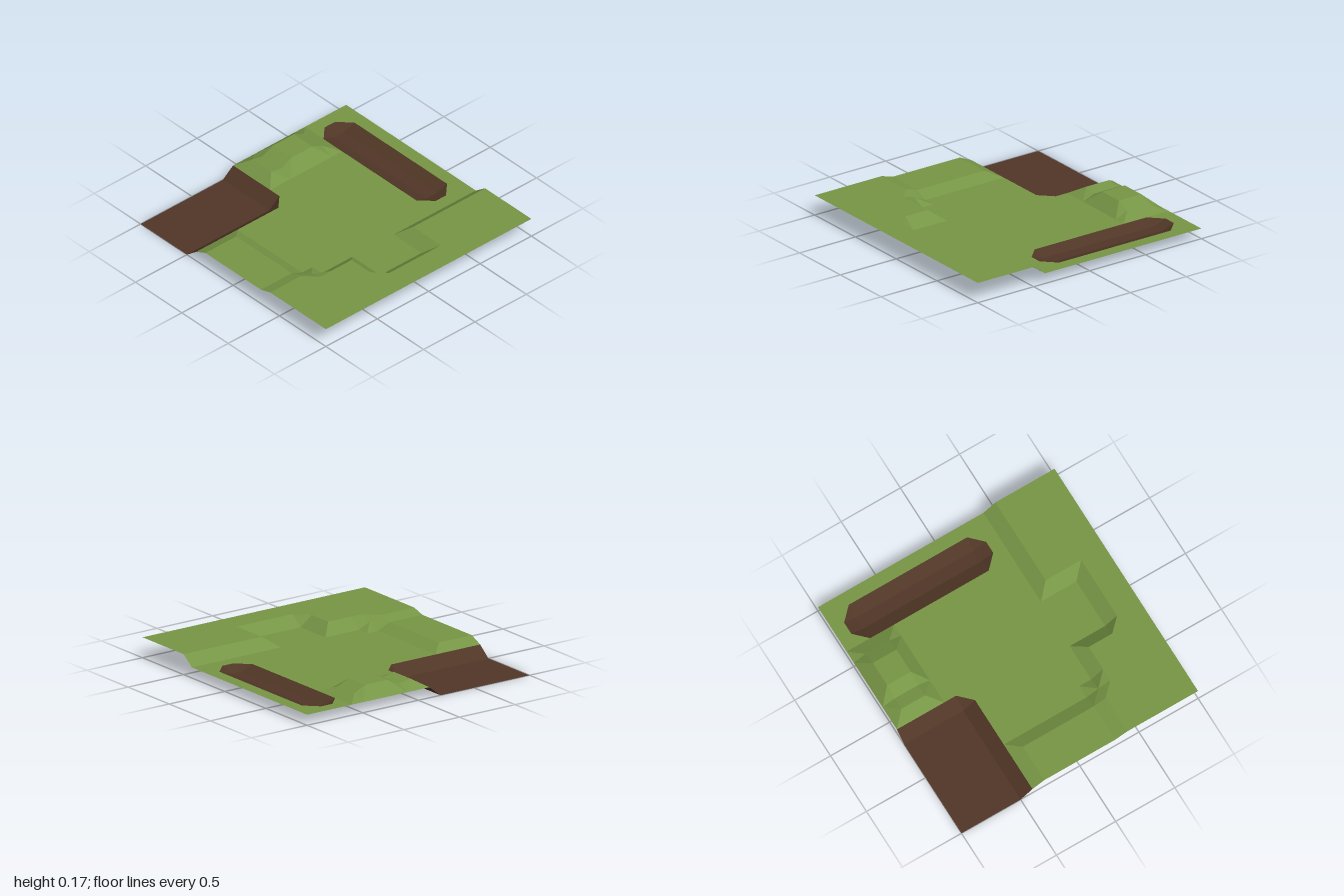
import * as THREE from 'three';

const CELLS = 20, LOW = 0.08, HIGH = 0.155, LEDGE = 0.125;

// Ground height on the 0.1 grid; i and j count tenths of a unit along x and z
function height(i, j) {
  // sunken dirt pit in the front corner
  if (i <= -5 && j >= 2) return 0;
  // shallow dirt trench along the back
  if (i >= -8 && i <= 2 && (j === -8 || j === -7)) return 0.045;
  // raised bank with a square bay cut into it
  const bay = j >= -2 && j <= 2;
  if (i >= (bay ? 8 : 5)) return HIGH;
  // low ledge along the front edge
  if (j >= 7 && i >= -3) return i >= 4 ? HIGH : LEDGE;
  if (j === 6 && i === 4) return LEDGE;
  // two small mounds on the side
  if (i >= -9 && i <= -7) {
    const mound = { '-5': 0.125, '-4': 0.168, '-3': 0.168, '-2': 0.168, '-1': 0.12, '0': 0.14 };
    return mound[j] ?? LOW;
  }
  return LOW;
}

// Collect the triangles of the height grid by terrain part
function buildTerrain() {
  const parts = { grassGround: [], dirtPit: [], dirtTrench: [] };
  const addTriangle = (...corners) => {
    const points = corners.map(([i, j]) => [i / 10, height(i, j), j / 10]);
    const sunken = points.some((p) => p[1] < LOW - 0.01);
    const part = !sunken ? 'grassGround' : points[0][2] > 0 ? 'dirtPit' : 'dirtTrench';
    parts[part].push(...points.flat());
  };
  for (let i = -CELLS / 2; i < CELLS / 2; i++) {
    for (let j = -CELLS / 2; j < CELLS / 2; j++) {
      const a = [i, j], b = [i + 1, j], c = [i + 1, j + 1], d = [i, j + 1];
      // split each cell along its higher diagonal, apart from one bay corner
      const bayCorner = i === 7 && j === -3;
      const acHigher = height(...a) + height(...c) > height(...b) + height(...d) + 1e-6;
      if (acHigher && !bayCorner) {
        addTriangle(a, d, c);
        addTriangle(a, c, b);
      } else {
        addTriangle(a, d, b);
        addTriangle(b, d, c);
      }
    }
  }
  return parts;
}

export function createModel() {
  const group = new THREE.Group();
  group.name = 'terrainTile';
  const grass = new THREE.MeshStandardMaterial({ color: 0x769545, side: THREE.DoubleSide, flatShading: true });
  grass.name = 'grass green';
  const dirt = new THREE.MeshStandardMaterial({ color: 0x503626, side: THREE.DoubleSide, flatShading: true });
  dirt.name = 'dirt brown';

  for (const [name, positions] of Object.entries(buildTerrain())) {
    const geometry = new THREE.BufferGeometry();
    geometry.setAttribute('position', new THREE.Float32BufferAttribute(positions, 3));
    geometry.computeVertexNormals();
    const mesh = new THREE.Mesh(geometry, name === 'grassGround' ? grass : dirt);
    mesh.name = name;
    group.add(mesh);
  }
  return group;
}
